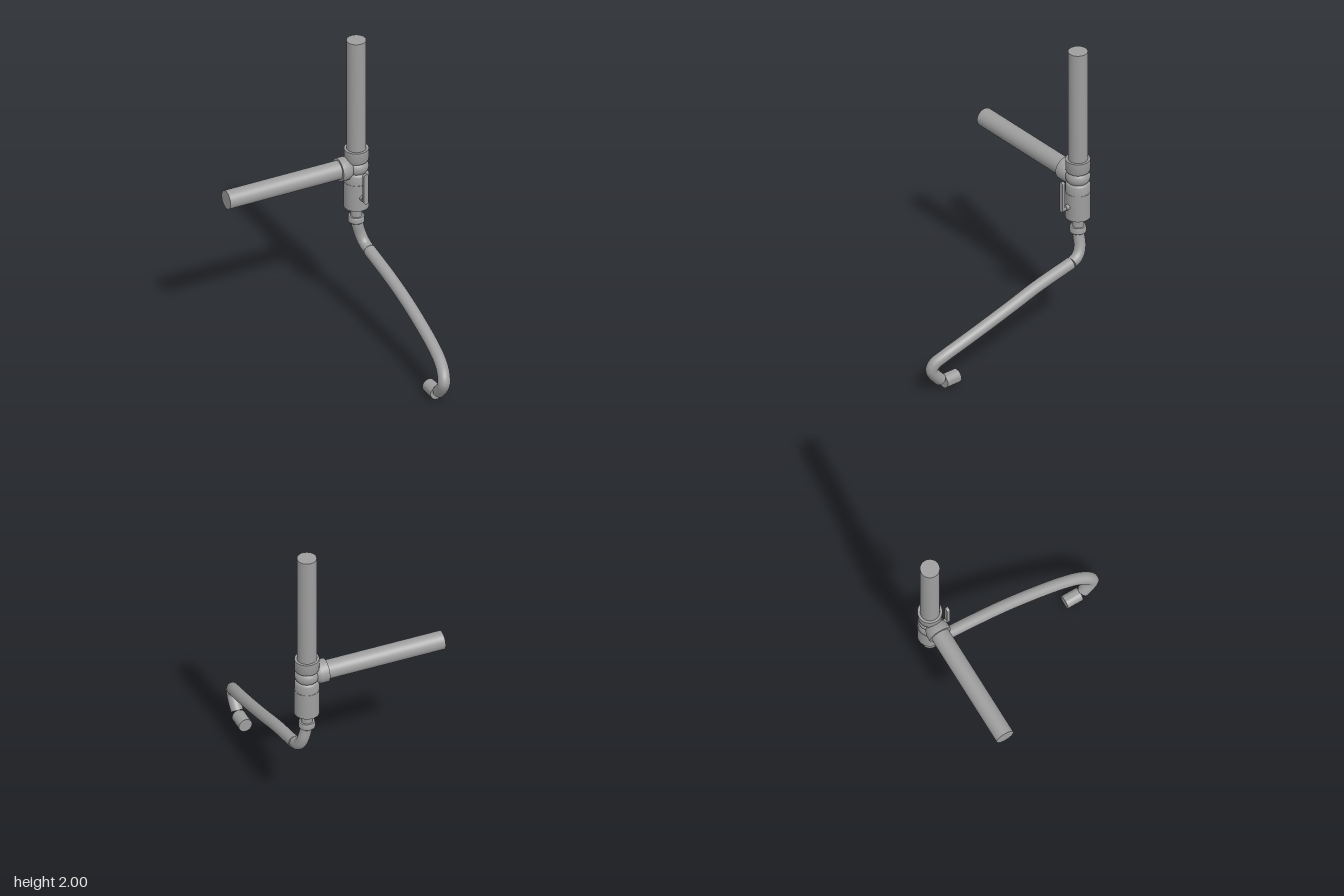
import * as THREE from 'three';
import { toCreasedNormals } from 'three/addons/utils/BufferGeometryUtils.js';

const steel = new THREE.MeshStandardMaterial({ color: 0x9e9e9e });
steel.name = 'grey metal';

const AX = 0.4, AZ = -0.56; // vertical axis of the valve
const v = (x, y, z) => new THREE.Vector3(x, y, z);

function part(name, geometry, parent) {
  const mesh = new THREE.Mesh(geometry, steel);
  mesh.name = name;
  parent.add(mesh);
  return mesh;
}

// Closed solid of revolution from [radius, height] pairs, bottom to top
function turned(name, profile, parent) {
  const pts = [[0, profile[0][1]], ...profile, [0, profile.at(-1)[1]]];
  const lathe = new THREE.LatheGeometry(pts.map(([r, y]) => new THREE.Vector2(r, y)), 32);
  return part(name, toCreasedNormals(lathe, 0.6), parent);
}

// Round hose along a smooth curve with flat end caps
function hose(name, points, radius, segments, parent) {
  const group = new THREE.Group();
  group.name = name;
  const curve = new THREE.CatmullRomCurve3(points);
  part(name + 'Tube', new THREE.TubeGeometry(curve, segments, radius, 24), group);
  for (const t of [0, 1]) {
    const cap = part(name + 'Cap', new THREE.CircleGeometry(radius, 24), group);
    const p = curve.getPoint(t);
    const out = curve.getTangent(t).multiplyScalar(t ? 1 : -1);
    cap.position.copy(p);
    cap.lookAt(p.clone().add(out));
  }
  parent.add(group);
}

export function createModel() {
  const model = new THREE.Group();
  model.name = 'valveAndHose';

  // Everything turned around the vertical axis
  const column = new THREE.Group();
  column.name = 'column';
  column.position.set(AX, 0, AZ);
  model.add(column);

  turned('upperPipe', [[0.061, 1.2], [0.061, 2]], column);
  turned('teeFitting', [
    [0.077, 1.0], [0.077, 1.055], [0.072, 1.066], [0.064, 1.071],
    [0.071, 1.08], [0.076, 1.094], [0.077, 1.106], [0.076, 1.118], [0.071, 1.132],
    [0.064, 1.141], [0.072, 1.147], [0.077, 1.157], [0.077, 1.23],
  ], column);
  turned('valveBody', [[0.079, 0.82], [0.079, 1.0]], column);
  turned('nipple', [[0.036, 0.74], [0.036, 0.83]], column);
  turned('hoseNut', [
    [0.046, 0.708], [0.052, 0.714], [0.052, 0.746], [0.048, 0.752],
  ], column);

  // Side branch, pointing to -x
  const branch = new THREE.Group();
  branch.name = 'branch';
  branch.position.set(AX, 1.106, AZ);
  branch.rotation.z = Math.PI / 2;
  model.add(branch);
  turned('branchSocket', [[0.04, 0.03], [0.06, 0.05], [0.075, 0.077], [0.075, 0.125]], branch);
  turned('branchPipe', [[0.06, 0.1], [0.06, 0.9]], branch);

  // Lever: stem collar, bent foot and flat upright bar with rounded ends
  const lever = new THREE.Group();
  lever.name = 'lever';
  lever.position.set(AX, 0.912, AZ);
  model.add(lever);
  turned('leverCollar', [[0.018, 0.06], [0.018, 0.1]], lever).rotation.x = Math.PI / 2;
  turned('leverStem', [[0.014, 0.08], [0.014, 0.125]], lever).rotation.x = Math.PI / 2;
  const bar = new THREE.Shape();
  bar.absarc(0, 0.18, 0.016, 0, Math.PI);
  bar.absarc(0, 0, 0.016, Math.PI, Math.PI * 2);
  part('leverBar', new THREE.ExtrudeGeometry(bar, { depth: 0.02, bevelEnabled: false }), lever)
    .position.z = 0.114;

  // Elbow under the nut, then the long hose
  hose('elbow', [
    v(AX, 0.72, AZ), v(0.408, 0.68, AZ), v(0.422, 0.625, -0.557),
    v(0.433, 0.58, -0.54), v(0.44, 0.552, -0.512), v(0.443, 0.538, -0.476),
  ], 0.037, 24, model);
  hose('longHose', [
    v(0.443, 0.535, -0.468), v(0.449, 0.477, -0.2), v(0.453, 0.42, 0),
    v(0.45, 0.358, 0.2), v(0.44, 0.292, 0.4), v(0.425, 0.244, 0.52),
    v(0.407, 0.202, 0.585), v(0.4, 0.162, 0.601), v(0.4, 0.125, 0.583), v(0.4, 0.067, 0.532),
  ], 0.039, 64, model);

  // Short end connector lying along z
  const end = turned('endConnector', [[0.044, 0], [0.044, 0.108]], model);
  end.rotation.x = Math.PI / 2;
  end.position.set(AX, 0.045, 0.4);

  return model;
}
